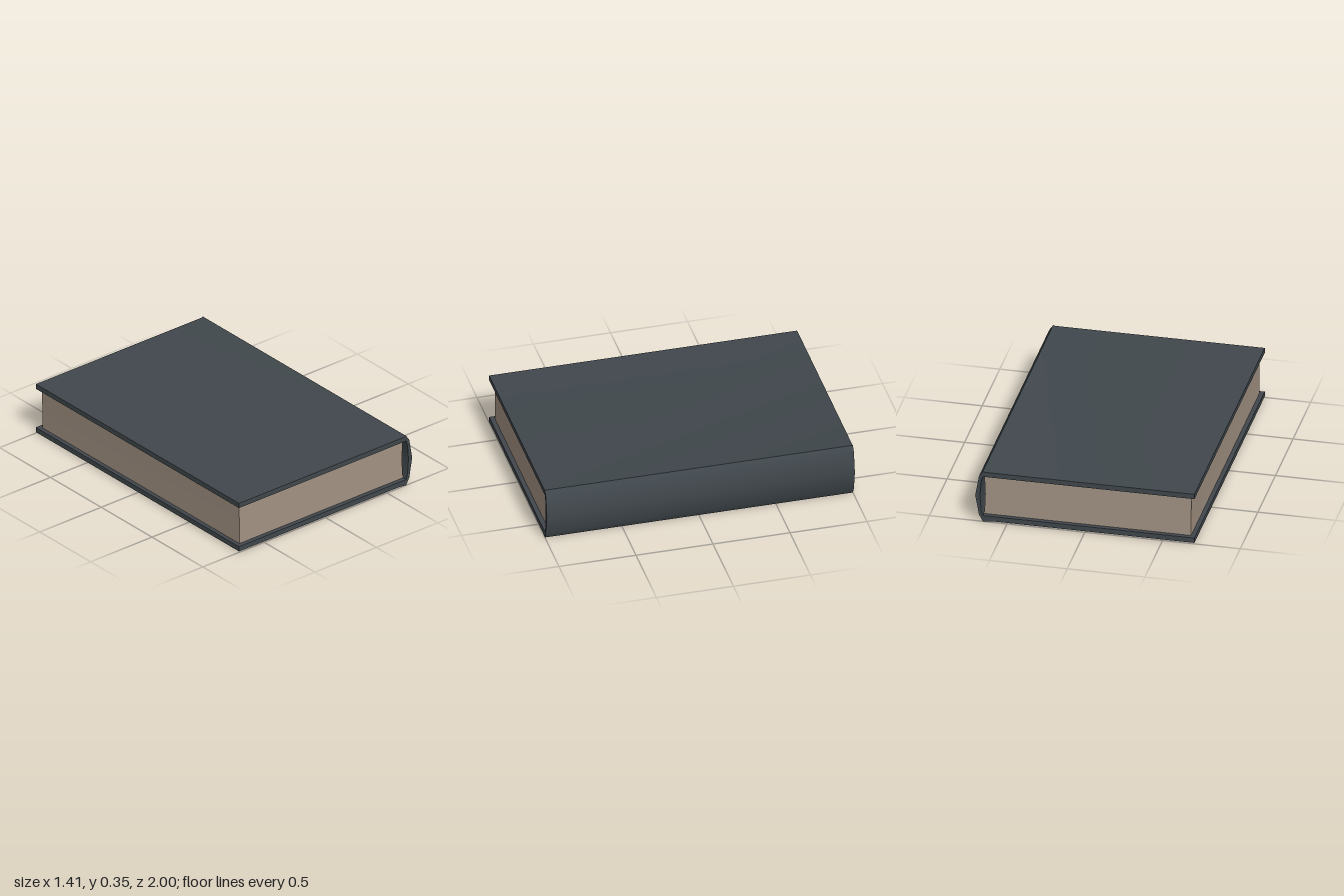
import * as THREE from 'three';
import { toCreasedNormals } from 'three/addons/utils/BufferGeometryUtils.js';

// Extrude an x/y outline along z, centred on z = 0, smoothing only shallow bends
function extrudeProfile(points, length) {
  const shape = new THREE.Shape(points.map(([x, y]) => new THREE.Vector2(x, y)));
  const geometry = new THREE.ExtrudeGeometry(shape, { depth: length, bevelEnabled: false });
  geometry.translate(0, 0, -length / 2);
  return toCreasedNormals(geometry, 0.6);
}

export function createModel() {
  const book = new THREE.Group();
  book.name = 'book';

  const coverMaterial = new THREE.MeshStandardMaterial({ color: 0x40474c });
  coverMaterial.name = 'dark slate cover';
  const paperMaterial = new THREE.MeshStandardMaterial({ color: 0xa39384 });
  paperMaterial.name = 'aged paper';

  function add(name, points, length, material) {
    const mesh = new THREE.Mesh(extrudeProfile(points, length), material);
    mesh.name = name;
    book.add(mesh);
  }

  // Two boards joined by a curved spine, as one folded outline
  add('cover', [
    [-0.705, 0.007], [0.6, 0.007], [0.656, 0], [0.681, 0.046], [0.705, 0.18],
    [0.681, 0.318], [0.656, 0.354], [0.64, 0.35], [-0.705, 0.352],
    [-0.705, 0.318], [0.656, 0.317], [0.667, 0.28], [0.675, 0.18],
    [0.667, 0.08], [0.656, 0.041], [-0.705, 0.041],
  ], 2, coverMaterial);

  // Page block, set back from the boards, slightly hollow at the spine
  add('pages', [
    [-0.677, 0.04], [0.655, 0.04], [0.65, 0.1], [0.647, 0.18], [0.65, 0.26],
    [0.655, 0.318], [-0.68, 0.318], [-0.677, 0.18],
  ], 1.94, paperMaterial);

  return book;
}
